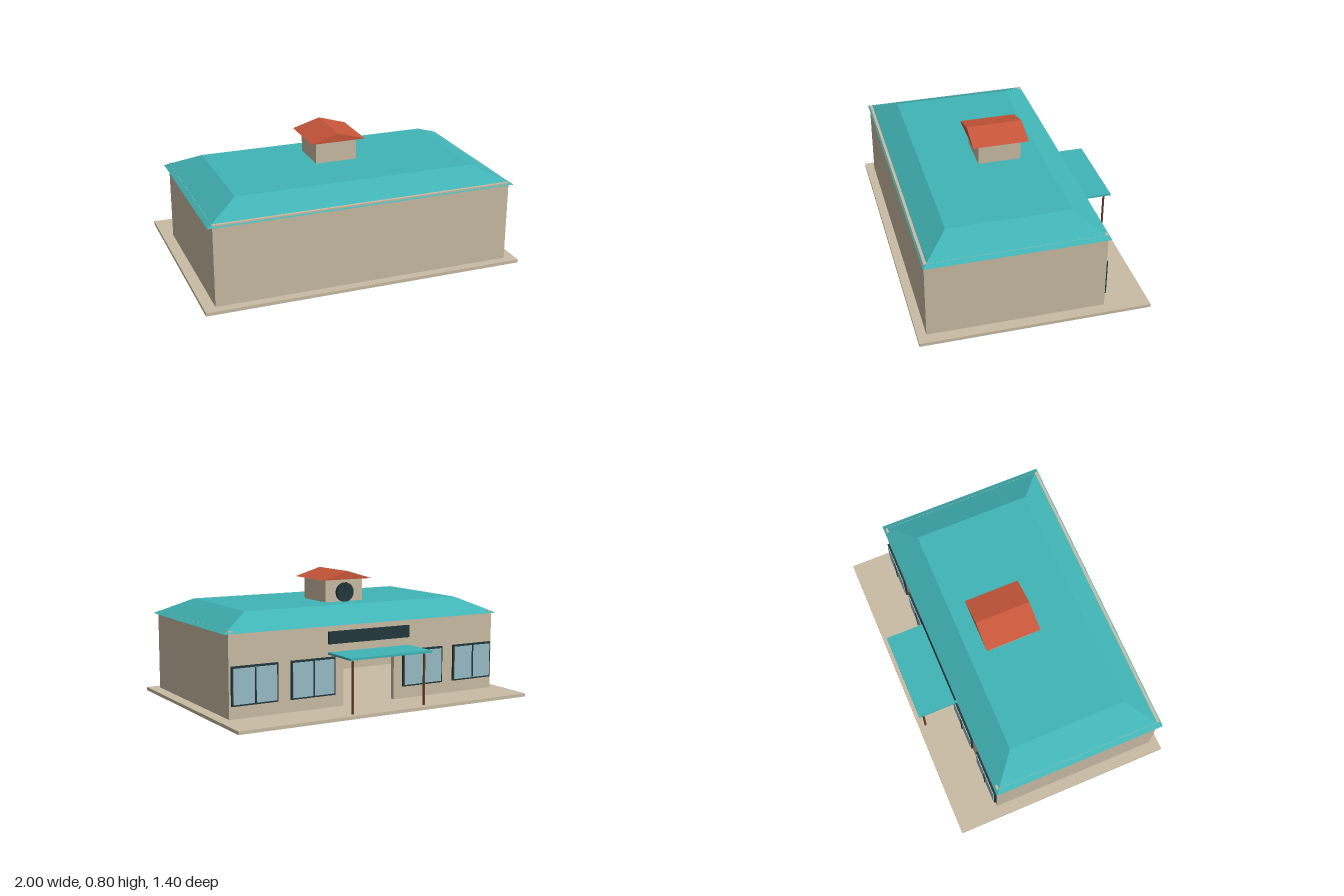
import * as THREE from 'three';

const flat = (name, color) => {
  const m = new THREE.MeshStandardMaterial({ color });
  m.name = name;
  return m;
};

export function createModel() {
  const tan = flat('tan wall', 0xc9bca4);
  const teal = flat('teal roof', 0x41b4b6);
  const red = flat('red tile', 0xc8563a);
  const dark = flat('dark trim', 0x23383e);
  const glass = flat('window glass', 0x98bcc4);
  const brown = flat('brown wood', 0x6e4028);

  const model = new THREE.Group();
  model.name = 'building';

  const add = (name, geometry, material, parent = model) => {
    const mesh = new THREE.Mesh(geometry, material);
    mesh.name = name;
    parent.add(mesh);
    return mesh;
  };

  // Box given by its extents on each axis
  const box = (name, material, [x0, x1], [y0, y1], [z0, z1], parent) => {
    const g = new THREE.BoxGeometry(x1 - x0, y1 - y0, z1 - z0);
    g.translate((x0 + x1) / 2, (y0 + y1) / 2, (z0 + z1) / 2);
    return add(name, g, material, parent);
  };

  // Ground slab
  box('baseSlab', tan, [-1, 1], [0, 0.02], [-0.7, 0.7]);

  // Hollow walls, with a doorway in the back one
  box('frontWall', tan, [-0.93, 0.93], [0.02, 0.525], [0.615, 0.645]);
  box('leftWall', tan, [0.9, 0.93], [0.02, 0.525], [-0.43, 0.615]);
  box('rightWall', tan, [-0.93, -0.9], [0.02, 0.525], [-0.43, 0.615]);
  box('backWallLeft', tan, [0.18, 0.9], [0.02, 0.51], [-0.43, -0.4]);
  box('backWallRight', tan, [-0.9, -0.18], [0.02, 0.51], [-0.43, -0.4]);
  box('doorLintel', tan, [-0.18, 0.18], [0.34, 0.51], [-0.43, -0.4]);

  // Main roof: a box whose top face is drawn inwards
  const roof = new THREE.BoxGeometry(1.92, 0.1, 1.095);
  const p = roof.attributes.position;
  for (let i = 0; i < p.count; i++) {
    if (p.getY(i) > 0) p.setXYZ(i, Math.sign(p.getX(i)) * 0.75, 0.05, Math.sign(p.getZ(i)) * 0.375);
  }
  roof.computeVertexNormals();
  add('mainRoof', roof, teal).position.set(0, 0.56, 0.106);

  // Cupola with gabled roof
  box('cupola', tan, [-0.132, 0.132], [0.61, 0.75], [-0.132, 0.135]);
  const gable = new THREE.Shape([
    new THREE.Vector2(-0.175, 0.75),
    new THREE.Vector2(0.175, 0.75),
    new THREE.Vector2(0, 0.802),
  ]);
  const gableRoof = new THREE.ExtrudeGeometry(gable, { depth: 0.35, bevelEnabled: false });
  add('cupolaRoof', gableRoof, red).position.z = -0.174;

  // Clock on the back of the cupola
  const dial = new THREE.CylinderGeometry(0.06, 0.06, 0.02, 24);
  dial.rotateX(Math.PI / 2);
  add('clockFace', dial, dark).position.set(0, 0.668, -0.142);
  box('clockHand', dark, [-0.004, 0.004], [0.67, 0.732], [-0.163, -0.157]);

  // Four windows along the back
  for (const x of [-0.77, -0.39, 0.39, 0.77]) {
    const w = new THREE.Group();
    w.name = 'window';
    w.position.x = x;
    model.add(w);
    box('windowFrame', dark, [-0.148, 0.148], [0.095, 0.325], [-0.442, -0.43], w);
    box('windowPane', glass, [-0.138, 0.138], [0.105, 0.313], [-0.447, -0.442], w);
    box('windowMullion', dark, [-0.004, 0.004], [0.105, 0.313], [-0.452, -0.447], w);
  }

  // Blank sign board over the entrance
  box('signBoard', dark, [-0.285, 0.285], [0.402, 0.477], [-0.444, -0.43]);

  // Entrance canopy on two posts
  box('canopy', teal, [-0.286, 0.286], [0.34, 0.353], [-0.685, -0.43]);
  for (const x of [-0.25, 0.25]) {
    add('canopyPost', new THREE.CylinderGeometry(0.007, 0.007, 0.31, 8), brown).position.set(x, 0.175, -0.653);
  }

  return model;
}
